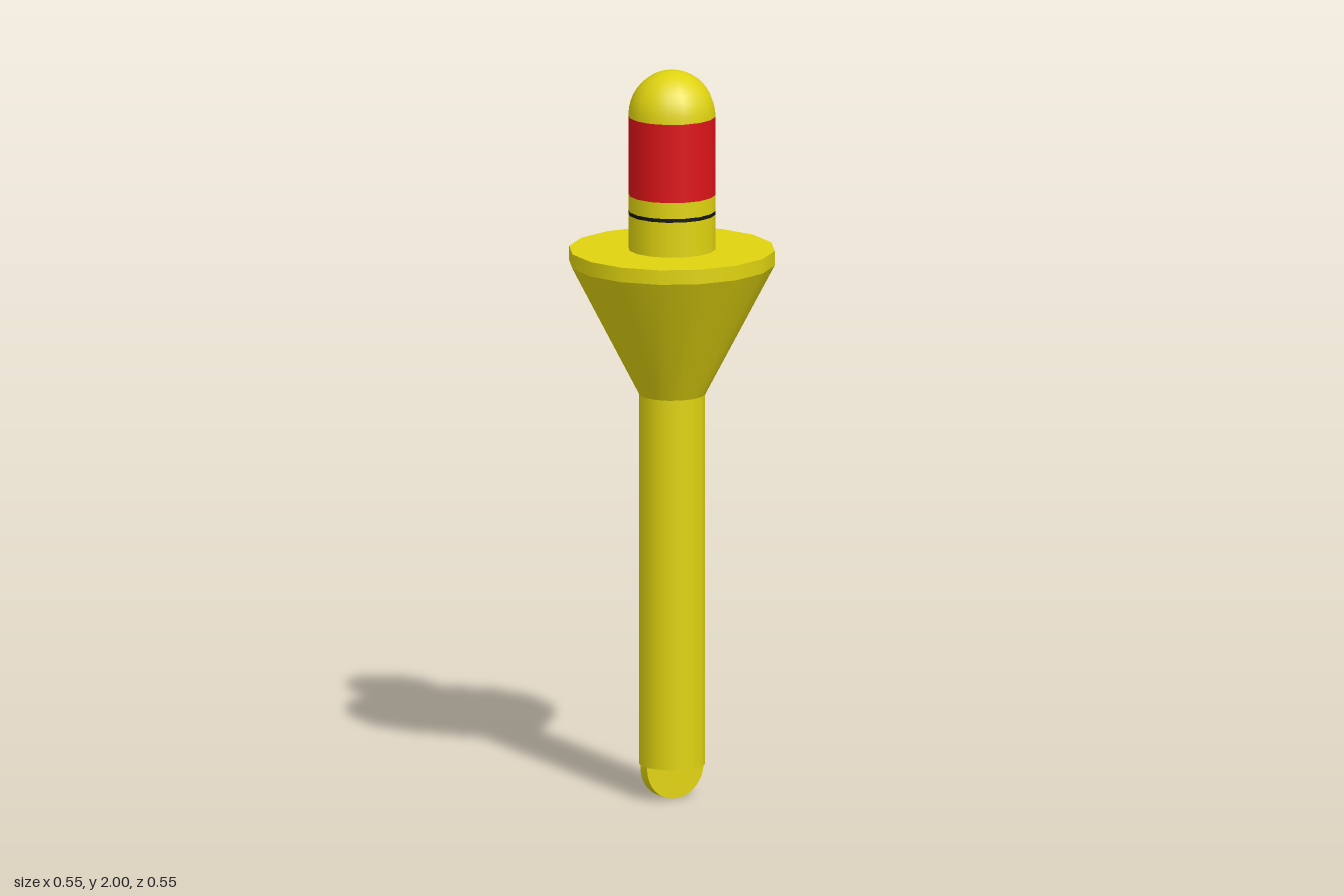
import * as THREE from 'three';

const SIDES = 16;
const TURN = 0.141; // slight twist of the 16-sided rings about the axis

const yellow = new THREE.MeshStandardMaterial({ color: 0xdfd310 });
const red = new THREE.MeshStandardMaterial({ color: 0xdc1418 });
const black = new THREE.MeshStandardMaterial({ color: 0x141414 });

export function createModel() {
  const group = new THREE.Group();

  const add = (name, geometry, material) => {
    const mesh = new THREE.Mesh(geometry, material);
    mesh.name = name;
    group.add(mesh);
    return mesh;
  };

  // Round section between two heights, with optional end caps
  const section = (name, y0, y1, r0, r1, material, open = true) => {
    const geometry = new THREE.CylinderGeometry(r1, r0, y1 - y0, SIDES, 1, open, TURN);
    geometry.translate(0, (y0 + y1) / 2, 0);
    return add(name, geometry, material);
  };

  // Lower stem, flared float and its rim
  section('stem', 0.093, 1.11, 0.0895, 0.0895, yellow, false);
  section('floatCone', 1.11, 1.47, 0.0895, 0.278, yellow);
  section('floatRim', 1.47, 1.51, 0.278, 0.278, yellow, false);

  // Upper post with a thin dark line and a red band
  section('postBase', 1.51, 1.606, 0.118, 0.118, yellow);
  section('darkLine', 1.606, 1.616, 0.118, 0.118, black);
  section('postCollar', 1.616, 1.66, 0.118, 0.118, yellow);
  section('redBand', 1.66, 1.875, 0.118, 0.118, red);

  // Rounded cap
  const profile = [];
  for (let i = 0; i <= 10; i++) {
    const a = (i / 10) * Math.PI / 2;
    profile.push(new THREE.Vector2(0.118 * Math.cos(a), 1.875 + 0.125 * Math.sin(a)));
  }
  profile[10].x = 0;
  add('domeCap', new THREE.LatheGeometry(profile, SIDES, TURN), yellow);

  // Flat half-round tab under the stem
  const tab = new THREE.Shape();
  tab.moveTo(-0.088, 0.094);
  tab.lineTo(-0.088, 0.088);
  tab.absarc(0, 0.088, 0.088, Math.PI, Math.PI * 2, false);
  tab.lineTo(0.088, 0.094);
  tab.closePath();
  const tabGeometry = new THREE.ExtrudeGeometry(tab, {
    depth: 0.036, bevelEnabled: false, curveSegments: 16,
  });
  tabGeometry.translate(0, 0, -0.018);
  add('bottomTab', tabGeometry, yellow);

  return group;
}
